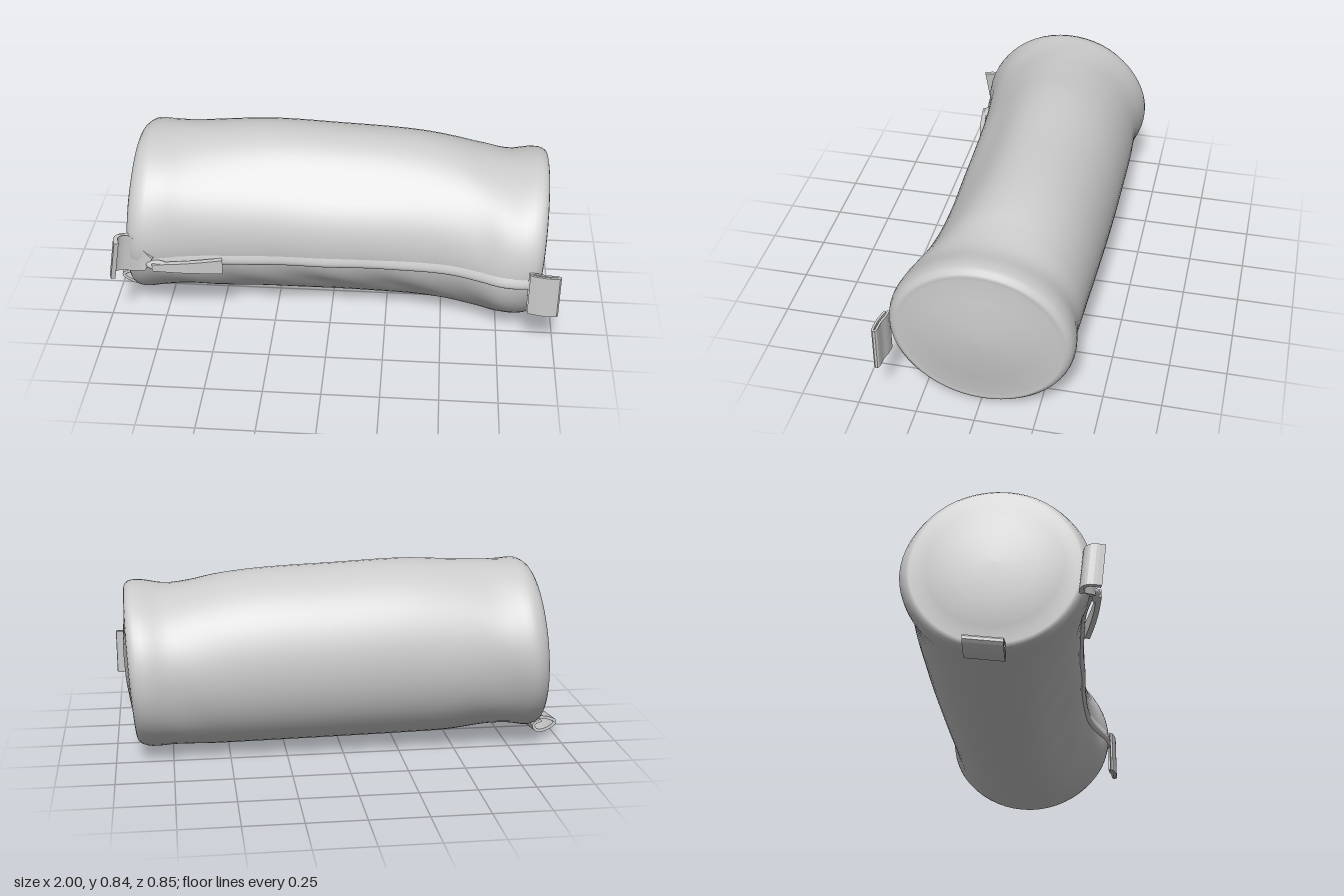
import * as THREE from 'three';

const material = new THREE.MeshStandardMaterial({ color: 0xcccccc, side: THREE.DoubleSide });

// Body stations along x: top, bottom, front (z), back (z)
const stations = [
  [-0.88, 0.80, 0.06, 0.330, -0.400],
  [-0.84, 0.82, 0.05, 0.350, -0.425],
  [-0.76, 0.82, 0.06, 0.345, -0.420],
  [-0.66, 0.82, 0.06, 0.325, -0.410],
  [-0.48, 0.83, 0.045, 0.305, -0.414],
  [-0.30, 0.84, 0.04, 0.296, -0.415],
  [0.00, 0.83, 0.035, 0.292, -0.413],
  [0.40, 0.808, 0.027, 0.290, -0.400],
  [0.55, 0.785, 0.022, 0.308, -0.392],
  [0.66, 0.758, 0.018, 0.340, -0.388],
  [0.76, 0.742, 0.013, 0.378, -0.386],
  [0.86, 0.758, 0.013, 0.385, -0.400],
  [0.92, 0.755, 0.025, 0.368, -0.390],
];
const profile = new THREE.CubicInterpolant(
  stations.map((s) => s[0]), stations.flatMap((s) => s.slice(1)), 4, new Float32Array(4));

const bump = (v, centre, width) => Math.exp(-(((v - centre) / width) ** 2));

// Point on the cloth at x and angle a (0 = front, PI/2 = top); s shrinks towards the axis
function surface(x, a, s = 1) {
  const [top, bottom, front, back] = profile.evaluate(THREE.MathUtils.clamp(x, -0.88, 0.92));
  // flattened upper and lower front, a fuller back shoulder at the neck, and shallow pleats
  const upper = 0.036 * bump(a, 0.8, 0.42) * bump(x, -0.02, 0.6);
  const lower = 0.026 * bump(a, -0.75, 0.35) * bump(x, 0.1, 0.55);
  const shoulder = -0.012 * bump(a, 2.3, 0.4) * bump(x, 0.72, 0.12);
  const pleat = 0.005 * bump(a, -0.6, 0.35) * Math.sin(x * 17 + a * 5) * bump(x, 0, 0.75)
    + 0.003 * Math.sin(a * 6 + x * 9) * bump(Math.abs(x), 0.72, 0.12);
  const k = s * (1 - (upper + lower + shoulder + pleat) / 0.38);
  const y = (top + bottom) / 2 + (top - bottom) / 2 * k * Math.sin(a);
  const z = (front + back) / 2 + (front - back) / 2 * k * Math.cos(a);
  // the ends lean a little
  const lean = 0.06 * (y - 0.4) * THREE.MathUtils.smoothstep(Math.abs(x), 0.6, 0.9);
  return new THREE.Vector3(x + lean, y, z);
}

// Angle at which the front of the cloth reaches height y
function angleAt(x, y) {
  const [top, bottom] = profile.evaluate(x);
  return Math.asin((2 * y - top - bottom) / (top - bottom));
}

// Grid of points made into a smooth surface; closed wraps each ring
function loft(rings, closed) {
  const n = rings[0].length, index = [];
  for (let i = 0; i < rings.length - 1; i++) {
    for (let j = 0; j < (closed ? n : n - 1); j++) {
      const k = (j + 1) % n, a = i * n, b = a + n;
      index.push(a + j, b + j, a + k, b + j, b + k, a + k);
    }
  }
  const geometry = new THREE.BufferGeometry().setFromPoints(rings.flat());
  geometry.setIndex(index);
  geometry.computeVertexNormals();
  return geometry;
}

// Strap: a 2D path thickened and extruded by width
function strap(points, thickness, width) {
  const path = new THREE.SplineCurve(points.map((p) => new THREE.Vector2(...p)));
  const sides = [[], []];
  for (let i = 0; i <= 20; i++) {
    const p = path.getPoint(i / 20), t = path.getTangent(i / 20);
    const n = new THREE.Vector2(-t.y, t.x).multiplyScalar(thickness / 2);
    sides[0].push(p.clone().add(n));
    sides[1].unshift(p.clone().sub(n));
  }
  return new THREE.ExtrudeGeometry(new THREE.Shape([...sides[0], ...sides[1]]),
    { depth: width, bevelEnabled: false });
}

// Strap drawn from above as x, z points, rising from y
function uprightStrap(points, thickness, y, height) {
  return strap(points.map(([x, z]) => [x, -z]), thickness, height).rotateX(-Math.PI / 2).translate(0, y, 0);
}

// Move every vertex by a rule
function reshape(geometry, rule) {
  const position = geometry.attributes.position, v = new THREE.Vector3();
  for (let i = 0; i < position.count; i++) {
    rule(v.fromBufferAttribute(position, i));
    position.setXYZ(i, v.x, v.y, v.z);
  }
  geometry.computeVertexNormals();
  return geometry;
}

export function createModel() {
  const group = new THREE.Group();
  const add = (name, geometry) => {
    const mesh = new THREE.Mesh(geometry, material);
    mesh.name = name;
    group.add(mesh);
    return mesh;
  };

  // Body with rolled rims and slightly domed ends: [x, scale]
  const rows = [[-0.935, 0.001], [-0.932, 0.25], [-0.922, 0.5], [-0.905, 0.75], [-0.888, 0.88], [-0.892, 0.94], [-0.882, 0.985]];
  for (let i = 0; i <= 64; i++) rows.push([-0.865 + 1.755 * i / 64, 1]);
  rows.push([0.908, 0.99], [0.922, 0.96], [0.926, 0.92], [0.921, 0.87], [0.936, 0.6], [0.95, 0.3], [0.953, 0.001]);
  const around = 56;
  add('bagBody', loft(rows.map(([x, s]) => Array.from({ length: around },
    (_, j) => surface(x, (j / around) * Math.PI * 2 - Math.PI, s))), true));

  // Zip flap along the front: a straight soft ridge that fades upward into the cloth
  const flap = [];
  for (let i = 0; i <= 60; i++) {
    const x = -0.8 + 1.68 * i / 60, ring = [];
    for (let j = 0; j <= 8; j++) {
      const v = j / 8, p = surface(x, angleAt(x, 0.33 + 0.055 * v));
      p.z += 0.012 * Math.sin(Math.PI * Math.pow(v, 0.6)) - 0.001;
      ring.push(p);
    }
    flap.push(ring);
  }
  add('zipFlap', loft(flap, false));

  // Zip pull: slider and a limp cord tab
  const slider = new THREE.SphereGeometry(1, 16, 10).scale(0.05, 0.022, 0.022);
  add('zipSlider', slider).position.set(-0.75, 0.36, 0.358);
  add('zipPull', reshape(
    uprightStrap([[-0.77, 0.372], [-0.66, 0.358], [-0.56, 0.338], [-0.47, 0.315]], 0.022, -0.033, 0.066),
    (v) => {
      const t = (v.x + 0.77) / 0.3;
      v.y = v.y * (0.5 + 0.55 * t) + 0.36 - 0.02 * t;
    }));

  // End tabs at both ends of the zip
  add('rightEndTab', uprightStrap(
    [[0.865, 0.385], [0.9, 0.388], [0.94, 0.398], [0.99, 0.402], [0.99, 0.415], [0.93, 0.413], [0.87, 0.398]], 0.01, 0.22, 0.2));
  add('leftEndTab', reshape(
    uprightStrap([[-0.8, 0.35], [-0.85, 0.338], [-0.9, 0.322], [-0.94, 0.33], [-0.955, 0.355], [-0.942, 0.4]], 0.02, -0.1, 0.2),
    (v) => {
      // gathered towards the slider, spread and tilted at the free end
      const spread = THREE.MathUtils.smoothstep(-v.x, 0.79, 0.91);
      const rise = v.y / 0.2;
      v.x += 0.035 * (rise + 0.4);
      v.z += 0.02 * (rise - 0.3) * spread;
      v.y = v.y * (0.3 + 0.7 * spread) + 0.36 + 0.035 * spread;
    }));

  // Folded loop under the left end, tilted up towards the back
  add('bottomLoop', reshape(
    strap([[-0.88, 0.07], [-0.93, 0.075], [-0.985, 0.062], [-0.992, 0.042], [-0.95, 0.015], [-0.91, 0.012], [-0.895, 0.04], [-0.93, 0.06]],
      0.014, 0.16).translate(0, 0, -0.15),
    (v) => { v.y += 0.14 * Math.max(0, -v.z); }));

  return group;
}
